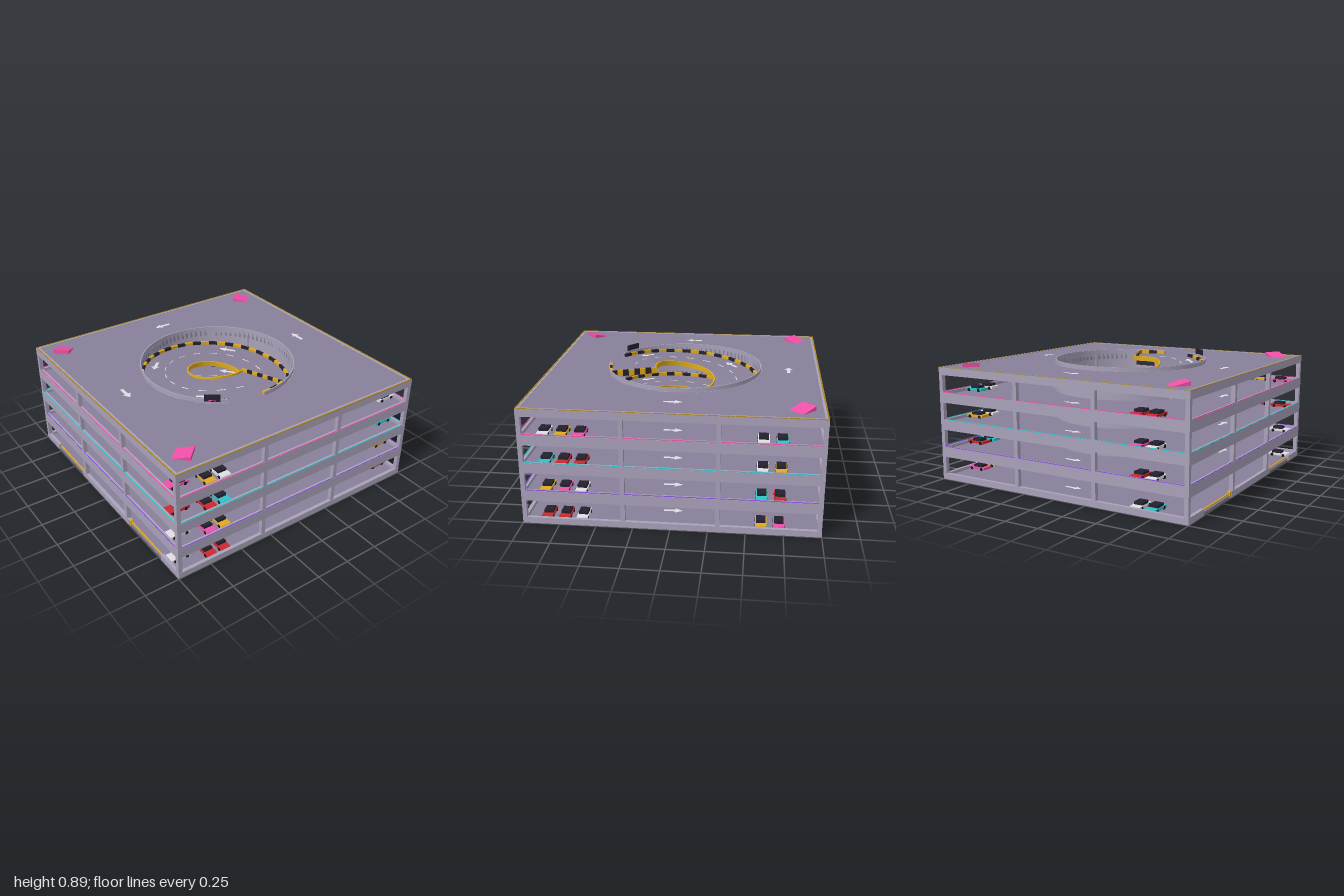
import * as THREE from 'three';
import { mergeGeometries } from 'three/addons/utils/BufferGeometryUtils.js';

const RAD = Math.PI / 180, FLOORS = 4, PITCH = 0.2, BASE = 0.02;
const R_IN = 0.22, R_OUT = 0.56, GAP = 26;
const WALL = 0xaaa2ba, SLAB = 0x888099, DARK = 0x24212e, YELLOW = 0xe0ab1c, WHITE = 0xdedee4, PINK = 0xf04fa8, TEAL = 0x2cc4c9;

const mat = (color) => new THREE.MeshStandardMaterial({ color, roughness: 0.8 });

// Add one mesh made of one or more geometries
function add(parent, name, color, geos) {
  const list = [].concat(geos);
  const mesh = new THREE.Mesh(list.length > 1 ? mergeGeometries(list) : list[0], mat(color));
  mesh.name = name;
  parent.add(mesh);
  return mesh;
}

// Box given by its centre
const box = (w, h, d, x, y, z) => new THREE.BoxGeometry(w, h, d).translate(x, y, z);

// Height of the ramp surface: flat landing near 0 degrees, a steady climb elsewhere
function rampY(a) {
  const turn = Math.floor((a + GAP) / 360);
  const t = THREE.MathUtils.clamp((a - turn * 360 - GAP) / (360 - 2 * GAP), 0, 1);
  return BASE + PITCH * (turn + t);
}

// Annular sector swept from a0 to a1 degrees, low and high are heights by angle
function sector(r0, r1, a0, a1, low, high, step = 4) {
  const n = Math.max(1, Math.ceil((a1 - a0) / step)), pos = [], idx = [];
  const corners = (a) => [[r0, low(a)], [r1, low(a)], [r1, high(a)], [r0, high(a)]]
    .map(([r, y]) => [r * Math.cos(a * RAD), y, -r * Math.sin(a * RAD)]);
  for (let j = 0; j < 4; j++) {
    const start = pos.length / 3;
    for (let i = 0; i <= n; i++) {
      const c = corners(a0 + (a1 - a0) * i / n);
      pos.push(...c[j], ...c[(j + 1) % 4]);
      if (i < n) {
        const p = start + 2 * i;
        idx.push(p, p + 2, p + 1, p + 1, p + 2, p + 3);
      }
    }
  }
  [a0, a1].forEach((a, end) => {
    const s = pos.length / 3;
    pos.push(...corners(a).flat());
    idx.push(...(end ? [s, s + 2, s + 1, s, s + 3, s + 2] : [s, s + 1, s + 2, s, s + 2, s + 3]));
  });
  const g = new THREE.BufferGeometry();
  g.setAttribute('position', new THREE.Float32BufferAttribute(pos, 3));
  g.setIndex(idx);
  g.computeVertexNormals();
  return g;
}
const flat = (y) => () => y;
const onRamp = (lift) => (a) => rampY(a) + lift;

// Square floor plate with the ramp hole
function slab(top, thick) {
  const s = new THREE.Shape([[-0.995, -0.995], [0.995, -0.995], [0.995, 0.995], [-0.995, 0.995]].map((p) => new THREE.Vector2(...p)));
  s.holes.push(new THREE.Path().absarc(0, 0, R_OUT, 0, Math.PI * 2, true));
  return new THREE.ExtrudeGeometry(s, { depth: thick, bevelEnabled: false, curveSegments: 48 })
    .rotateX(-Math.PI / 2).translate(0, top - thick, 0);
}

// Painted arrow lying on the ground, pointing along angle (degrees, anticlockwise from +x)
function arrow(x, y, z, angle, tilt = 0) {
  const pts = [[-0.065, -0.012], [0.01, -0.012], [0.01, -0.032], [0.065, 0], [0.01, 0.032], [0.01, 0.012], [-0.065, 0.012]];
  return new THREE.ShapeGeometry(new THREE.Shape(pts.map((p) => new THREE.Vector2(...p))))
    .rotateX(-Math.PI / 2).rotateZ(tilt).rotateY(angle * RAD).translate(x, y + 0.004, z);
}

// Small parked car, nose along +z
function car(color) {
  const g = new THREE.Group();
  g.name = 'parkedCar';
  add(g, 'carBody', color, box(0.075, 0.018, 0.15, 0, 0.017, 0));
  add(g, 'carCabin', DARK, box(0.064, 0.018, 0.075, 0, 0.035, -0.01));
  const wheels = [];
  for (const x of [-0.034, 0.034]) for (const z of [-0.046, 0.046])
    wheels.push(new THREE.CylinderGeometry(0.012, 0.012, 0.012, 10).rotateZ(Math.PI / 2).translate(x, 0.012, z));
  add(g, 'carWheels', 0x17151c, wheels);
  return g;
}

// Wedge for the roof, rising towards +x
function wedge() {
  const s = new THREE.Shape([[-0.06, 0], [0.06, 0], [0.06, 0.03]].map((p) => new THREE.Vector2(...p)));
  return new THREE.ExtrudeGeometry(s, { depth: 0.12, bevelEnabled: false }).translate(0, 0, -0.06);
}

export function createModel() {
  const model = new THREE.Group();
  model.name = 'parkingGarage';
  const roofY = BASE + FLOORS * PITCH;

  // Floor plates and roof
  for (let k = 0; k <= FLOORS; k++)
    add(model, k === FLOORS ? 'roofSlab' : 'floorSlab', SLAB, slab(BASE + k * PITCH, k ? 0.046 : 0.02));

  // Facade on four sides: bands, neon edges and columns
  const neon = [PINK, 0x8a4fe0, TEAL, PINK];
  for (let side = 0; side < 4; side++) {
    const facade = new THREE.Group();
    facade.name = 'facade';
    facade.rotation.y = side * Math.PI / 2;
    for (let k = 0; k <= FLOORS; k++) {
      const y0 = k ? BASE + k * PITCH - 0.052 : 0, y1 = k === FLOORS ? roofY + 0.003 : 0.043 + k * PITCH;
      const spans = side === 0 && k === 0 ? [[-1, -0.78], [-0.35, 0.35], [0.78, 1]] : [[-1, 1]];
      add(facade, 'parapetBand', WALL, spans.map(([a, b]) => box(b - a, y1 - y0, 0.025, (a + b) / 2, (y0 + y1) / 2, 0.9875)));
      if (k && k < FLOORS) add(facade, 'neonEdge', neon[k], box(1.94, 0.004, 0.006, 0, y1 + 0.002, 0.995));
    }
    add(facade, 'columns', WALL, [-0.985, -0.315, 0.315].map((x) => box(0.03, roofY, 0.03, x, roofY / 2, 0.984)));
    add(facade, 'roofEdge', 0xa8841f, box(2, 0.004, 0.01, 0, roofY + 0.003, 0.995));
    model.add(facade);
  }

  // Round wall about the ramp, open towards +x, with a raised rim above the roof
  add(model, 'rampWall', WALL, sector(R_OUT, 0.572, GAP, 360 - GAP, flat(0), flat(roofY)));
  add(model, 'rampRim', WALL, sector(R_OUT, 0.568, 0, 360 - GAP, flat(roofY - 0.02), flat(roofY + 0.03)));
  const pilasters = [];
  for (const x of [-0.28, 0.28]) for (const z of [-0.5, 0.5]) pilasters.push(box(0.03, roofY - 0.02, 0.03, x, roofY / 2, z));
  add(model, 'pilasters', WALL, pilasters);

  // Spiral ramp, its inner curb and the striped outer curb
  const end = FLOORS * 360 + 22;
  add(model, 'spiralRamp', SLAB, sector(R_IN, R_OUT, -GAP, end, onRamp(-0.02), onRamp(0)));
  add(model, 'innerCurb', YELLOW, sector(0.214, 0.224, -GAP, end, onRamp(-0.021), onRamp(0.016)));
  const stripes = [[], []], marks = [];
  for (let k = 0; k < FLOORS; k++) {
    for (let i = 0; i < 44; i++) {
      const a = k * 360 + GAP + i * 7;
      stripes[i % 2].push(sector(0.542, 0.561, a, a + 7, onRamp(-0.005), onRamp(0.022)));
    }
    for (let i = 0; i < 18; i++) {
      const a = k * 360 + i * 20 + 5;
      marks.push(sector(0.385, 0.391, a, a + 9, onRamp(0), onRamp(0.003)));
    }
    for (let i = 0; i < 4; i++) {
      const a = k * 360 + 45 + i * 90;
      marks.push(arrow(0.47 * Math.cos(a * RAD), rampY(a), -0.47 * Math.sin(a * RAD), a + 90, 0.08).toNonIndexed());
    }
  }
  for (let i = 0; i < 3; i++)
    stripes[i % 2].push(sector(0.542, 0.561, FLOORS * 360 + i * 7.3, FLOORS * 360 + i * 7.3 + 7.3, onRamp(0), onRamp(0.025)));
  // Striped barrier closing the top landing
  for (let i = 0; i < 8; i++)
    stripes[i % 2].push(box(0.0425, 0.045, 0.012, R_IN + 0.0425 * (i + 0.5), roofY + 0.002, 0).rotateY(22 * RAD));
  stripes.forEach((list, i) => add(model, i ? 'curbDarkStripes' : 'curbYellowStripes', i ? DARK : YELLOW,
    list.map((g) => { g.deleteAttribute('uv'); return g; })));

  // Centre island at the foot of the ramp
  add(model, 'centreIsland', SLAB, new THREE.CylinderGeometry(R_IN, R_IN, 0.05, 48).translate(0, 0.025, 0));

  // Painted traffic marks on the ramp and floors
  for (let k = 0; k <= FLOORS; k++) {
    const y = BASE + k * PITCH;
    marks.push(...[arrow(0, y, -0.77, 180), arrow(-0.77, y, 0, 270), arrow(0, y, 0.77, 0)].map((g) => g.toNonIndexed()));
  }
  add(model, 'trafficMarks', WHITE, marks.map((g) => {
    const p = g.index ? g.toNonIndexed() : g;
    p.deleteAttribute('uv');
    return p;
  })).material.side = THREE.DoubleSide;

  // Blank dark sign boards beside the opening on every level and above the roof
  for (let k = 0; k <= FLOORS; k++) {
    const sign = new THREE.Group(), top = k === FLOORS;
    sign.name = 'levelSign';
    add(sign, 'signBoard', DARK, box(0.012, 0.05, top ? 0.11 : 0.07, 0, 0, 0));
    add(sign, 'signGlow', [PINK, 0x8a4fe0, TEAL, YELLOW, PINK][k], box(0.004, 0.006, 0.05, 0.006, -0.016, 0));
    sign.position.set(0.452, top ? 0.865 : 0.115 + k * PITCH, 0.356);
    sign.rotation.y = -38 * RAD;
    model.add(sign);
  }
  const board = new THREE.Group();
  board.name = 'wallBoard';
  add(board, 'boardPanel', DARK, box(0.012, 0.12, 0.15, -0.505, 0.1, 0.175));
  add(board, 'boardGlow', PINK, [-0.05, 0.05].map((d) => box(0.004, 0.005, 0.1, -0.498, 0.085 + d * 0.6, 0.175)));
  model.add(board);

  // Entry and exit booms in the front gaps
  for (const s of [-1, 1]) {
    add(model, 'barrierBoom', YELLOW, box(0.42, 0.008, 0.01, s * 0.565, 0.03, 0.985));
    add(model, 'barrierPost', YELLOW, box(0.022, 0.045, 0.022, s * 0.36, 0.0225, 0.985));
  }

  // Wedges on three roof corners, turning with the traffic
  for (const [x, z, a] of [[0.84, 0.84, 45], [-0.84, 0.84, -45], [-0.84, -0.84, -135]]) {
    const w = add(model, 'jumpWedge', PINK, wedge());
    w.position.set(x, roofY + 0.003, z);
    w.rotation.y = a * RAD;
  }

  // Parked cars on each level: x, z, turn in degrees
  const bays = [[0.84, -0.9, 180], [0.72, -0.9, 180], [0.6, -0.9, 180], [-0.6, -0.9, 180], [-0.72, -0.9, 180],
    [-0.9, 0.61, -90], [-0.9, 0.72, -90], [0.9, 0.61, 90], [0.9, 0.72, 90], [0.84, 0.9, 0]];
  const paints = [0xd0282c, 0xe0e0e4, YELLOW, 0xd0282c, TEAL, PINK, 0xe0e0e4];
  for (let k = 0; k < FLOORS; k++) bays.forEach(([x, z, turn], i) => {
    const c = car(paints[(i * 3 + k * 2) % paints.length]);
    c.position.set(x, BASE + k * PITCH, z);
    c.rotation.y = turn * RAD;
    model.add(c);
  });

  return model;
}
